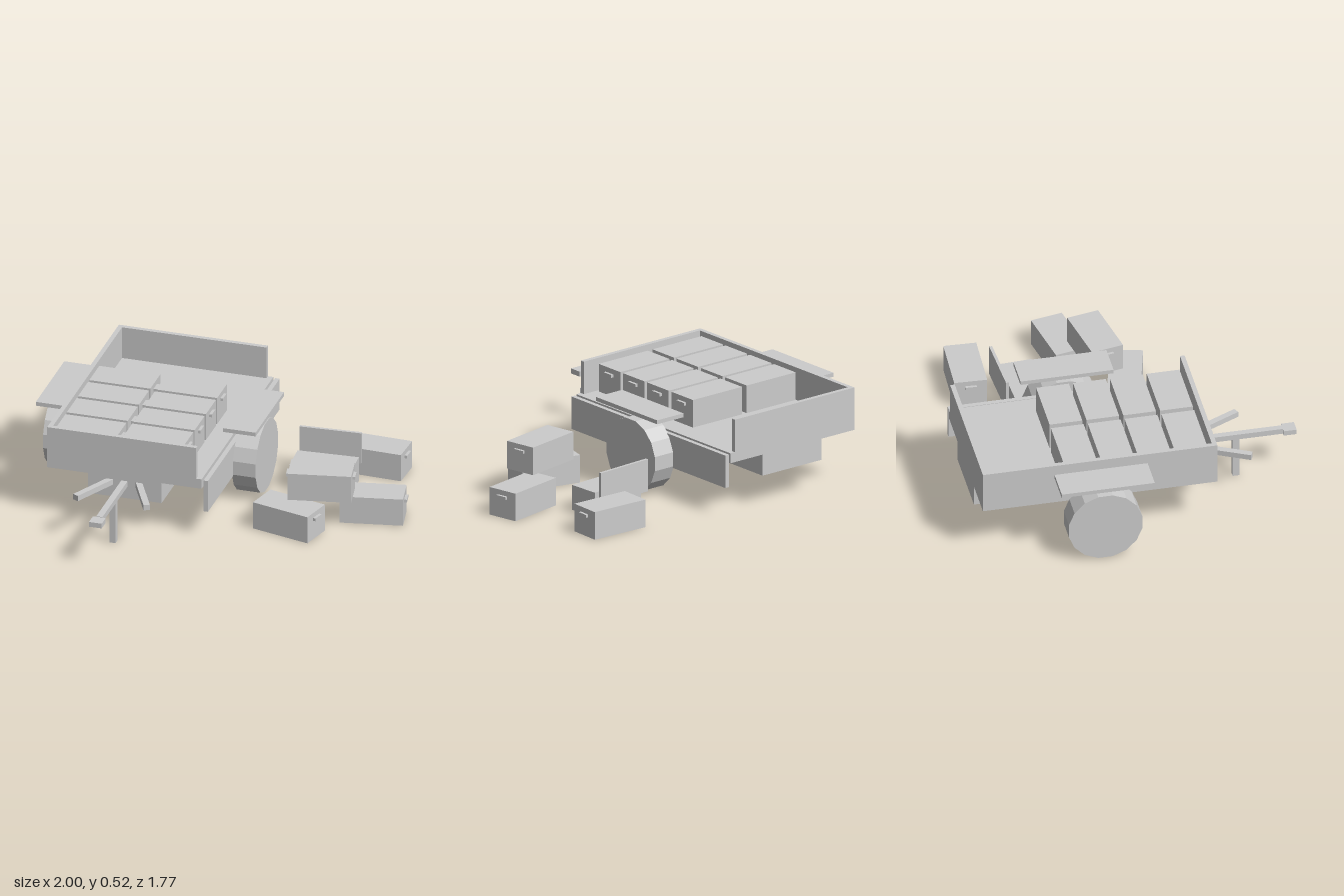
import * as THREE from 'three';

export function createModel() {
  const model = new THREE.Group();
  model.name = 'cargoTrailer';
  const gray = new THREE.MeshStandardMaterial({ color: 0xcccccc, flatShading: true });
  gray.name = 'plainGray';

  // Box given by its min and max on each axis
  function block(name, x0, x1, y0, y1, z0, z1, parent = model) {
    const mesh = new THREE.Mesh(new THREE.BoxGeometry(x1 - x0, y1 - y0, z1 - z0), gray);
    mesh.position.set((x0 + x1) / 2, (y0 + y1) / 2, (z0 + z1) / 2);
    mesh.name = name;
    parent.add(mesh);
    return mesh;
  }

  // Bed, walls and the folded-down side panel
  const back = -0.885, front = 0.375;
  block('bedFloor', -0.82, 0.03, 0.285, 0.34, back, front);
  block('sideWall', -0.82, -0.795, 0.34, 0.52, back, front);
  block('frontWall', -0.795, 0, 0.34, 0.52, front - 0.025, front);
  block('rearWall', -0.795, 0, 0.34, 0.52, back, back + 0.025);
  block('foldedSidePanel', 0.04, 0.065, 0.155, 0.335, back, front);

  // Chassis and axle
  const midX = -0.395;
  block('chassis', -0.595, -0.19, 0.168, 0.285, back, front);
  block('axle', -0.85, 0.06, 0.17, 0.24, -0.295, -0.225);

  // Wheels and fenders on both sides
  for (const side of [-1, 1]) {
    const geo = new THREE.CylinderGeometry(0.201, 0.201, 0.13, 16);
    geo.rotateY(Math.PI / 16).rotateZ(Math.PI / 2);
    const wheel = new THREE.Mesh(geo, gray);
    wheel.name = side > 0 ? 'leftWheel' : 'rightWheel';
    wheel.position.set(midX + side * 0.52, 0.203, -0.26);
    model.add(wheel);

    const fender = block(side > 0 ? 'leftFender' : 'rightFender', -0.09, 0.09, 0.44, 0.462, -0.5, 0);
    fender.position.x = midX + side * 0.515;
  }

  // Drawbar with coupler, stand and two splayed braces
  block('drawbar', midX - 0.017, midX + 0.017, 0.237, 0.268, front, 0.815);
  block('coupler', midX - 0.035, midX + 0.035, 0.237, 0.265, 0.815, 0.885);
  block('stand', midX - 0.016, midX + 0.016, 0.003, 0.237, 0.545, 0.582);
  for (const side of [-1, 1]) {
    const brace = block('brace', -0.017, 0.017, 0.237, 0.268, -0.15, 0.15);
    brace.position.x = midX + side * 0.13;
    brace.position.z = 0.475;
    brace.rotation.y = side * 0.455;
  }

  // Crate with a grip on each end, origin at the middle of its base
  function crate(name, x, y, z, turn = 0) {
    const group = new THREE.Group();
    group.name = name;
    block('crateBody', -0.168, 0.168, 0, 0.153, -0.088, 0.088, group);
    for (const end of [-1, 1]) {
      const grip = block('crateGrip', -0.008, 0.008, 0.109, 0.125, -0.031, 0.031, group);
      grip.position.x = end * 0.175;
    }
    group.position.set(x, y, z);
    group.rotation.y = turn;
    model.add(group);
  }

  // Two columns of crates loaded in the bed
  for (const x of [-0.621, -0.253])
    for (let row = 0; row < 4; row++) crate('loadedCrate', x, 0.342, 0.241 - row * 0.198);

  // Crates on the ground, one of them stacked
  crate('groundCrate', 0.668, 0, -0.66, -0.04);
  crate('groundCrate', 0.817, 0, -0.125, 0.19);
  crate('groundCrate', 0.44, 0, 0.15, -0.25);
  crate('stackedCrate', 0.577, 0.166, 0.018, 0.19);

  // Plain box with its lid standing behind it
  const plainBox = block('plainBox', -0.166, 0.166, 0.01, 0.148, -0.088, 0.088);
  plainBox.position.x = 0.465;
  plainBox.position.z = -0.39;
  plainBox.rotation.y = 0.055;
  const lid = block('standingLid', -0.168, 0.168, 0.092, 0.27, -0.008, 0.008);
  lid.position.x = 0.46;
  lid.position.z = -0.523;
  lid.rotation.y = 0.055;

  return model;
}
